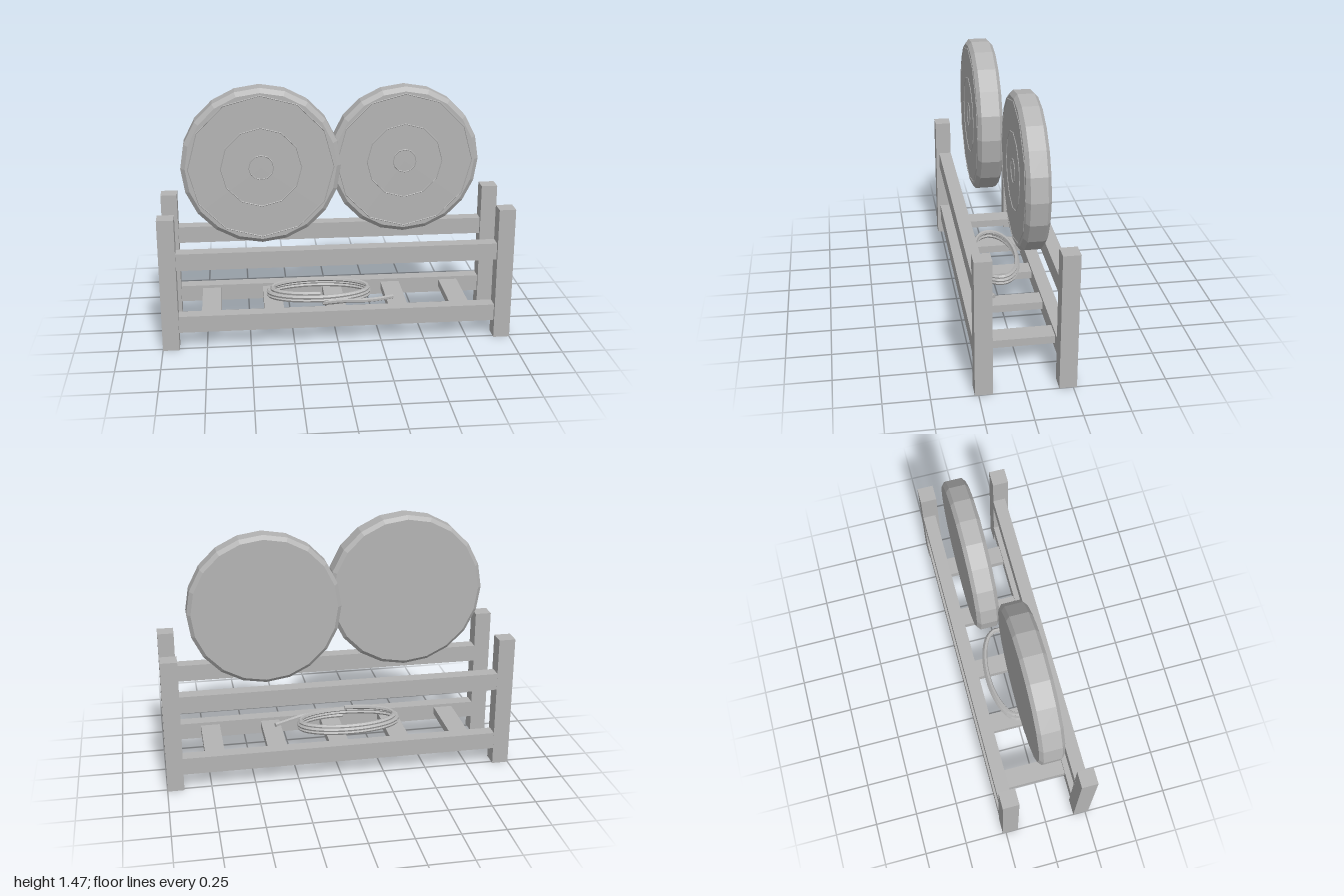
import * as THREE from 'three';

export function createModel() {
  const model = new THREE.Group();
  const grey = new THREE.MeshStandardMaterial({ color: 0xb4b4b4, flatShading: true });
  grey.name = 'grey';

  const add = (parent, name, geometry, x = 0, y = 0, z = 0) => {
    const mesh = new THREE.Mesh(geometry, grey);
    mesh.name = name;
    mesh.position.set(x, y, z);
    parent.add(mesh);
    return mesh;
  };

  // Wooden rack: corner posts, long rails and cross slats
  const rack = new THREE.Group();
  rack.name = 'rack';
  model.add(rack);
  for (const z of [0.223, -0.223]) {
    for (const x of [-0.953, 0.953]) {
      add(rack, 'post', new THREE.BoxGeometry(0.094, 0.78, 0.094), x, 0.39, z);
    }
    const railZ = z > 0 ? 0.213 : -0.232;
    for (const y of [0.148, 0.525]) {
      add(rack, 'rail', new THREE.BoxGeometry(1.83, 0.098, 0.075), 0, y, railZ);
    }
  }
  for (let i = -2; i <= 2; i++) {
    add(rack, 'slat', new THREE.BoxGeometry(0.112, 0.045, 0.39), i * 0.36, 0.157, -0.01);
  }

  // Round targets: chamfered drum with low raised rings on the front face
  const target = (name, x, y, z, radius, depth) => {
    const group = new THREE.Group();
    group.name = name;
    group.position.set(x, y, z);
    const h = depth / 2;
    const profile = [
      [0, -h], [radius - 0.022, -h], [radius, -h + 0.02],
      [radius, h - 0.02], [radius - 0.025, h], [0, h],
    ].map(([r, t]) => new THREE.Vector2(r, t));
    const drum = new THREE.LatheGeometry(profile, 20);
    drum.rotateX(Math.PI / 2);
    add(group, 'drum', drum);
    for (const f of [0.91, 0.505, 0.155]) {
      const ring = new THREE.TorusGeometry(radius * f, 0.006, 4, 12);
      add(group, 'ring', ring, 0, 0, h - 0.003);
    }
    model.add(group);
  };
  target('largeTarget', -0.417, 1.02, 0.041, 0.447, 0.143);
  target('smallTarget', 0.41, 0.998, -0.086, 0.43, 0.13);

  // Oval rope coil: three stacked turns, then a loose tail
  const points = [];
  const turns = 3, steps = 16;
  for (let i = 0; i <= turns * steps; i++) {
    const t = i / steps;
    const a = Math.PI / 2 + t * Math.PI * 2;
    const shrink = t < 1 ? 1 - 0.09 * (1 - t) : 1;
    points.push(new THREE.Vector3(
      -0.09 + Math.cos(a) * 0.297 * shrink,
      0.252 - t * 0.018,
      0.005 + Math.sin(a) * 0.13 * shrink,
    ));
  }
  // Bring the rope out of the coil toward the front right
  points.reverse();
  points.unshift(
    new THREE.Vector3(0.34, 0.195, 0.072),
    new THREE.Vector3(0.25, 0.2, 0.112),
    new THREE.Vector3(0.15, 0.208, 0.143),
    new THREE.Vector3(0.03, 0.212, 0.143),
  );
  const rope = new THREE.CatmullRomCurve3(points);
  add(model, 'ropeCoil', new THREE.TubeGeometry(rope, 150, 0.013, 6, false));
  // Flat caps on the rope ends
  for (const u of [0, 1]) {
    const cap = add(model, 'ropeEnd', new THREE.CircleGeometry(0.013, 6));
    cap.position.copy(rope.getPoint(u));
    const out = rope.getTangent(u).multiplyScalar(u ? 1 : -1);
    cap.quaternion.setFromUnitVectors(new THREE.Vector3(0, 0, 1), out);
  }

  return model;
}
